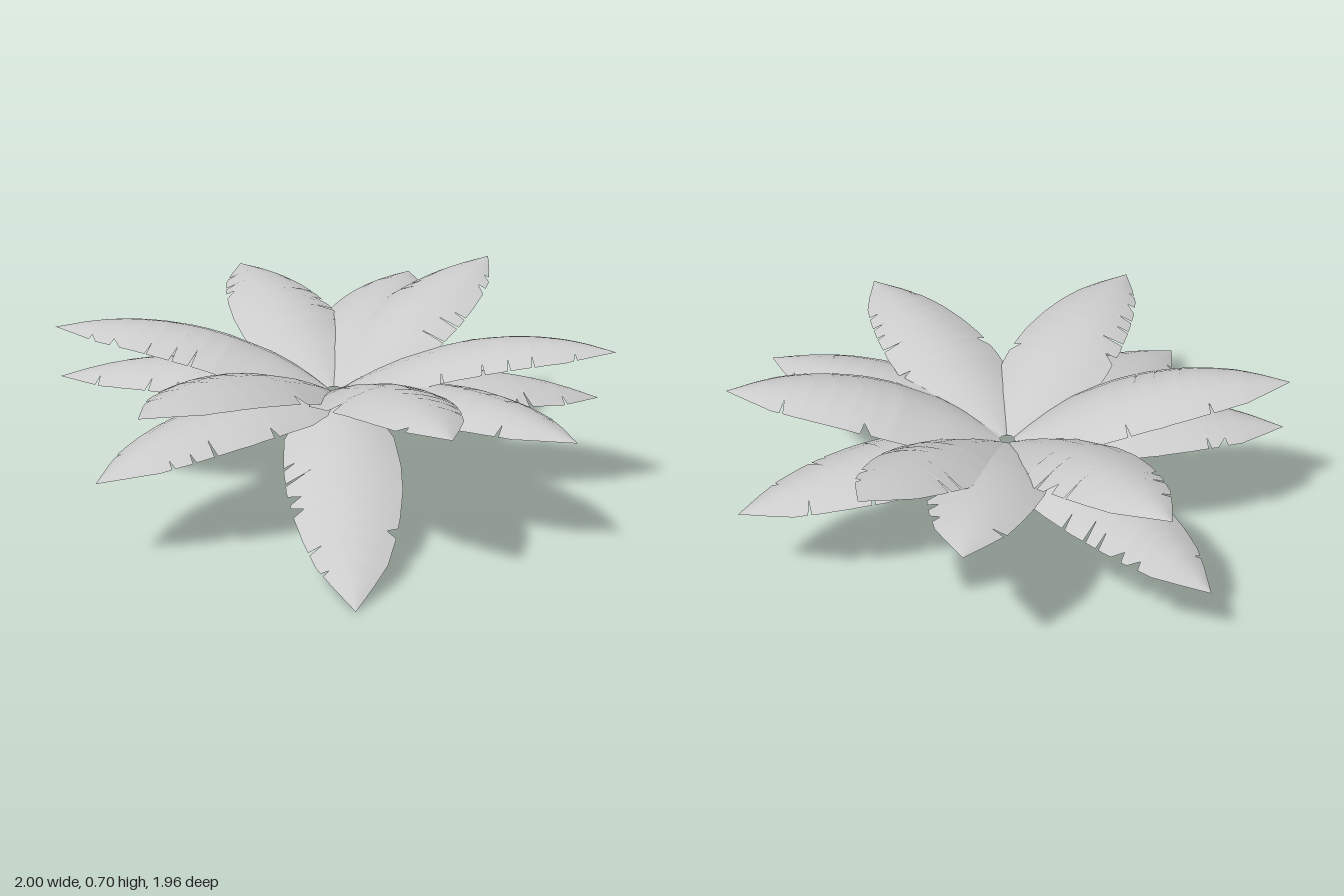
import * as THREE from 'three';

// Every leaf: tip x, y, z and upward bow of the midrib
const LEAVES = [
  [0, 0.585, -0.98, 0.085], [0.35, 0.705, -0.89, 0.07], [0.885, 0.32, -0.47, 0.075],
  [0.995, 0.62, -0.14, 0.105], [0.965, 0.47, 0.375, 0.087], [0.65, 0.605, 0.805, 0.09],
  [0.36, 0, 0.88, 0.08], [-0.34, 0.62, 0.975, 0.1], [-0.54, 0.335, 0.89, 0.083],
  [-1, 0.62, 0.21, 0.105], [-0.99, 0.43, 0.21, 0.085], [-0.78, 0.24, -0.59, 0.08],
  [-0.64, 0.625, -0.745, 0.09],
];

// Half-width of the blade along its length
const WIDTH = [[0, 0.015], [0.06, 0.095], [0.13, 0.155], [0.23, 0.195], [0.38, 0.205],
  [0.5, 0.2], [0.62, 0.18], [0.72, 0.155], [0.82, 0.12], [0.9, 0.07], [1, 0]];
const COLUMNS = [-1, -0.7, -0.35, 0, 0.35, 0.7, 1];

function halfWidth(t) {
  const k = Math.max(1, WIDTH.findIndex(([u]) => u >= t));
  const [u0, w0] = WIDTH[k - 1], [u1, w1] = WIDTH[k];
  return THREE.MathUtils.lerp(w0, w1, (t - u0) / (u1 - u0));
}

function seeded(seed) {
  let s = seed * 7919 + 17;
  return () => (s = (s * 16807) % 2147483647) / 2147483647;
}

// Arched blade with narrow tears and a few wider steps in both edges
function leafGeometry([tx, ty, tz, bow], seed) {
  const rand = seeded(seed);
  rand();
  const length = Math.hypot(tx, tz), dx = tx / length, dz = tz / length;
  const base = 0.025, baseY = 0.42;

  // Each tear is a V: full width, pulled in, full width
  const rows = WIDTH.map(([t]) => ({ t, left: 1, right: 1 }));
  for (let i = 0; i < 7; i++) {
    const side = rand() < 0.5 ? 'left' : 'right';
    const t = 0.38 + i * 0.075 + rand() * 0.03;
    const step = rand() < 0.3;
    const gap = step ? 0.035 : 0.008;
    const depth = step ? 0.8 : 0.58 + rand() * 0.2;
    rows.push({ t: t - gap, left: 1, right: 1 });
    rows.push({ t, left: 1, right: 1, [side]: depth });
    rows.push({ t: t + 0.004, left: 1, right: 1 });
  }
  rows.sort((a, b) => a.t - b.t);

  const positions = [], indices = [];
  const n = COLUMNS.length;
  rows.forEach((row, i) => {
    const w = halfWidth(row.t);
    COLUMNS.forEach((c, j) => {
      const s = c * (c < 0 ? row.left : row.right);
      // Veins sweep forward towards the edge
      const t = row.t + 0.05 * (Math.abs(s) - 0.8) * Math.sin(Math.PI * row.t);
      const r = base + (length - base) * t;
      const across = w * s;
      const y = baseY + (ty - baseY) * t + 4 * bow * t * (1 - t) - 0.3 * w * s * s;
      positions.push(dx * r - dz * across, y, dz * r + dx * across);
      if (i && j) {
        const d = i * n + j, a = d - n - 1;
        indices.push(a, a + 1, d - 1, a + 1, d, d - 1);
      }
    });
  });
  const geometry = new THREE.BufferGeometry();
  geometry.setAttribute('position', new THREE.Float32BufferAttribute(positions, 3));
  geometry.setIndex(indices);
  geometry.computeVertexNormals();
  return geometry;
}

export function createModel() {
  const plant = new THREE.Group();
  plant.name = 'leafRosette';
  const material = new THREE.MeshStandardMaterial({ color: 0xcccccc, side: THREE.DoubleSide });
  LEAVES.forEach((shape, i) => {
    const leaf = new THREE.Mesh(leafGeometry(shape, i + 1), material);
    leaf.name = `leaf${i + 1}`;
    plant.add(leaf);
  });
  return plant;
}
